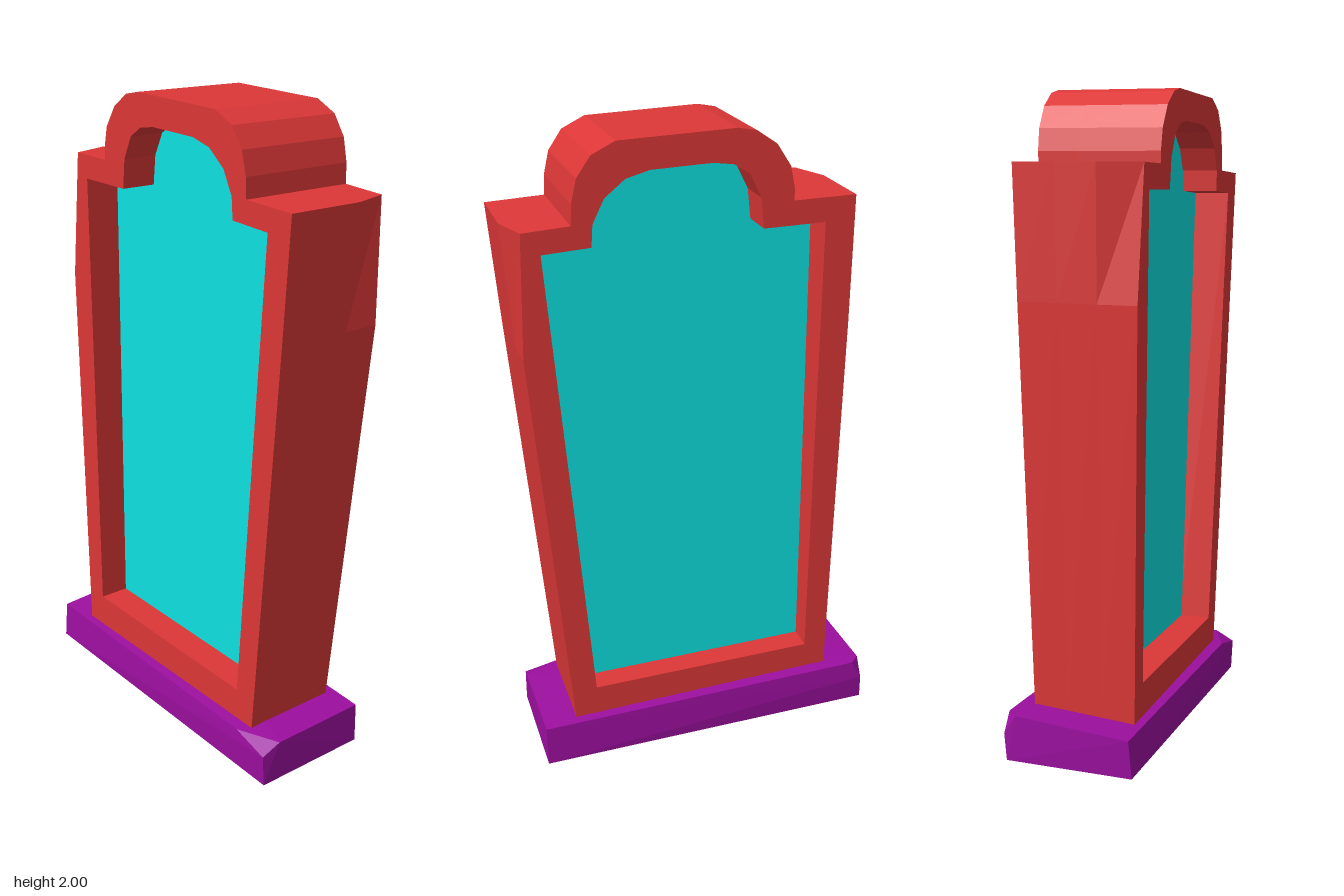
import * as THREE from 'three';
import { ConvexGeometry } from 'three/addons/geometries/ConvexGeometry.js';

const material = (color) => new THREE.MeshStandardMaterial({ color, flatShading: true });
const points = (list) => list.map(([x, y]) => new THREE.Vector2(x, y));

// Thickness grows gently with height
const frontZ = (y) => 0.155 + 0.011 * y;
const backZ = (y) => -0.155 - 0.025 * y;

// Leaning, crooked outline of the frame, counter-clockwise
const outline = [
  [-0.424, 0.165], [0.424, 0.12], [0.541, 1.38], [0.573, 1.75], [0.394, 1.76],
  [0.392, 1.82], [0.376, 1.89], [0.335, 1.95], [0.265, 1.985],
  [-0.08, 2.0], [-0.135, 1.99], [-0.195, 1.95], [-0.238, 1.885], [-0.252, 1.82],
  [-0.252, 1.785], [-0.441, 1.79], [-0.44, 1.4],
];

// Opening in the frame, also the shape of the panel
const opening = [
  [-0.353, 0.27], [0.356, 0.237], [0.48, 1.685], [0.338, 1.695],
  [0.334, 1.76], [0.3, 1.83], [0.24, 1.88], [0.17, 1.9],
  [-0.01, 1.908], [-0.07, 1.9], [-0.118, 1.87], [-0.153, 1.8], [-0.163, 1.71],
  [-0.351, 1.715],
];

function frameGeometry() {
  const shape = new THREE.Shape(points(outline));
  shape.holes.push(new THREE.Path(points(opening)));
  const geometry = new THREE.ExtrudeGeometry(shape, { depth: 1, steps: 3, bevelEnabled: false });
  const p = geometry.attributes.position;
  for (let i = 0; i < p.count; i++) {
    let x = p.getX(i);
    const y = p.getY(i), t = p.getZ(i);
    // Chipped shoulder corners: one at the front, the other at the back
    if (x < -0.4405 && t > 0.9) x = -0.396;
    if (x > 0.572 && t < 0.1) x = 0.534;
    p.setXYZ(i, x, y, THREE.MathUtils.lerp(backZ(y), frontZ(y), t));
  }
  geometry.computeVertexNormals();
  return geometry;
}

function panelGeometry() {
  const geometry = new THREE.ExtrudeGeometry(new THREE.Shape(points(opening)), { depth: 0.14, bevelEnabled: false });
  return geometry.translate(0, 0, -0.08);
}

// Tilted slab with two opposite top corners broken off
function baseGeometry() {
  const corners = [
    [-0.545, 0.055, 0.19], [-0.545, 0.055, -0.2], [0.528, 0, 0.195], [0.528, 0, -0.193],
    [-0.547, 0.17, 0.18], [0.53, 0.13, -0.19],
    [0.527, 0.1, 0.2], [0.533, 0.13, 0.138], [0.4, 0.133, 0.195],
    [-0.541, 0.135, -0.209], [-0.541, 0.195, -0.173], [-0.509, 0.195, -0.205],
  ];
  return new ConvexGeometry(corners.map((c) => new THREE.Vector3(...c)));
}

function undersideGeometry() {
  return new THREE.PlaneGeometry(1.07, 0.385)
    .rotateX(Math.PI / 2)
    .rotateZ(-0.0512)
    .translate(-0.0085, 0.0255, -0.002);
}

export function createModel() {
  const model = new THREE.Group();
  model.name = 'gravestone';
  const stone = new THREE.Group();
  stone.name = 'turnedStone';
  stone.rotation.y = -Math.PI / 4;
  model.add(stone);

  const add = (name, geometry, color) => {
    const mesh = new THREE.Mesh(geometry, material(color));
    mesh.name = name;
    stone.add(mesh);
  };
  add('frame', frameGeometry(), 0xdd3737);
  add('panel', panelGeometry(), 0x0fe0e0);
  add('base', baseGeometry(), 0x9c0f9f);
  add('baseUnderside', undersideGeometry(), 0x555555);
  return model;
}
